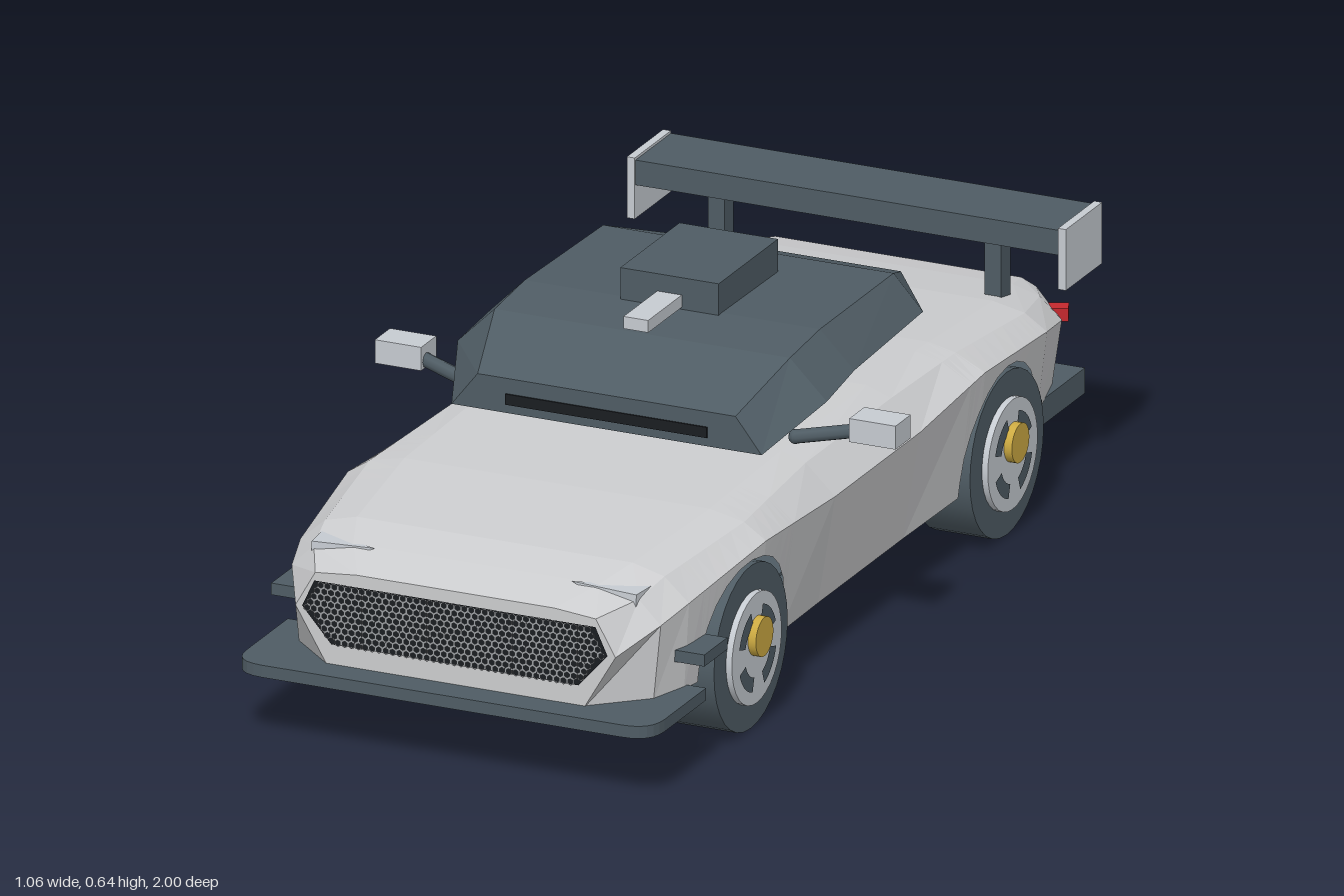
import * as THREE from 'three';
import { mergeGeometries } from 'three/addons/utils/BufferGeometryUtils.js';
import { ConvexGeometry } from 'three/addons/geometries/ConvexGeometry.js';

const mat = (name, color, side = THREE.FrontSide) =>
  Object.assign(new THREE.MeshStandardMaterial({ color, side }), { name });

const V = (x, y, z) => new THREE.Vector3(x, y, z);

// Skin through cross-sections that run from front to back, capped at both ends.
function loft(rows, closed) {
  const p = [], n = rows[0].length;
  const tri = (...vs) => vs.forEach(v => p.push(v.x, v.y, v.z));
  for (let i = 0; i < rows.length - 1; i++) {
    for (let j = 0; j < (closed ? n : n - 1); j++) {
      const k = (j + 1) % n;
      tri(rows[i][j], rows[i + 1][j], rows[i + 1][k]);
      tri(rows[i][j], rows[i + 1][k], rows[i][k]);
    }
  }
  const front = rows[0], back = rows[rows.length - 1];
  for (let j = 1; j < n - 1; j++) {
    tri(front[0], front[j], front[j + 1]);
    tri(back[0], back[j + 1], back[j]);
  }
  const g = new THREE.BufferGeometry();
  g.setAttribute('position', new THREE.Float32BufferAttribute(p, 3));
  g.computeVertexNormals();
  return g;
}

// Half section points (x, y) mirrored into a full row at depth z.
const mirrorRow = (pts, z) => [
  ...pts.map(([x, y]) => V(x, y, z)),
  ...pts.slice().reverse().map(([x, y]) => V(-x, y, z)),
];

export function createModel() {
  const car = new THREE.Group();
  car.name = 'car';
  const silver = mat('silver paint', 0xcccdcf, THREE.DoubleSide);
  const trim = mat('light trim', 0xc6cbd1);
  const dark = mat('dark slate', 0x4f5c64);
  const black = mat('black', 0x1a1d21);
  const mesh = mat('grille mesh', 0x9a9da0);
  const gold = mat('gold', 0xccaa42);
  const red = mat('red', 0xc4282e);

  const add = (name, geo, material, parent = car) => {
    const m = new THREE.Mesh(geo, material);
    m.name = name;
    parent.add(m);
    return m;
  };
  // Box given by its limits on each axis.
  const box = (name, material, [x0, x1], [y0, y1], [z0, z1]) =>
    add(name, new THREE.BoxGeometry(x1 - x0, y1 - y0, z1 - z0), material)
      .position.set((x0 + x1) / 2, (y0 + y1) / 2, (z0 + z1) / 2);
  // The same box on both sides, limits given for the left one.
  const pair = (name, material, [x0, x1], y, z) => {
    box(name, material, [x0, x1], y, z);
    box(name, material, [-x1, -x0], y, z);
  };

  // Body shell: z, then bonnet edge, top edge, shoulder and sill as x, y
  const keys = [
    [0.94, 0.20, 0.338, 0.285, 0.33, 0.325, 0.26, 0.26, 0.15],
    [0.85, 0.25, 0.362, 0.33, 0.345, 0.375, 0.30, 0.36, 0.15],
    [0.77, 0.28, 0.382, 0.345, 0.365, 0.395, 0.32, 0.385, 0.15],
    [0.50, 0.31, 0.40, 0.38, 0.385, 0.425, 0.355, 0.40, 0.13],
    [0.19, 0.31, 0.408, 0.36, 0.392, 0.42, 0.335, 0.385, 0.12],
    [-0.18, 0.31, 0.41, 0.36, 0.392, 0.42, 0.335, 0.385, 0.12],
    [-0.45, 0.31, 0.402, 0.365, 0.39, 0.425, 0.36, 0.40, 0.13],
    [-0.75, 0.30, 0.378, 0.365, 0.365, 0.41, 0.335, 0.39, 0.17],
    [-0.90, 0.27, 0.355, 0.325, 0.34, 0.37, 0.30, 0.35, 0.17],
    [-0.98, 0.25, 0.338, 0.28, 0.325, 0.33, 0.27, 0.26, 0.17],
  ];
  const axles = [0.545, -0.565], wheelR = 0.16, archR = 0.172;
  const stations = keys.map(k => k[0]);
  for (const a of axles) {
    stations.push(a + archR * 1.002, a - archR * 1.002);
    for (let i = 0; i <= 12; i++) stations.push(a + archR * Math.cos(i * Math.PI / 12));
  }
  stations.sort((a, b) => b - a);
  const bodyRows = stations.map(z => {
    const i = Math.min(keys.length - 2, Math.max(0, keys.findIndex(k => k[0] <= z) - 1));
    const t = (keys[i][0] - z) / (keys[i][0] - keys[i + 1][0]);
    const [, ax, ay, bx, by, cx, cy, dx, dy] = keys[i].map((v, j) => v + (keys[i + 1][j] - v) * t);
    // Raise the sill to cut the wheel arches.
    let lift = 0;
    for (const a of axles) {
      const h = archR * archR - (z - a) ** 2;
      if (h > -1e-9) lift = (wheelR + Math.sqrt(Math.max(0, h)) - dy) / (cy - dy);
    }
    return mirrorRow([[dx + (cx - dx) * lift, dy + (cy - dy) * lift], [cx, cy], [bx, by], [ax, ay]], z);
  });
  add('body', loft(bodyRows, false), silver);

  // Underside
  box('floor', dark, [-0.29, 0.29], [0.13, 0.15], [-0.78, 0.8]);
  box('midFloor', dark, [-0.383, 0.383], [0.124, 0.145], [-0.39, 0.37]);
  box('wheelWellRoof', dark, [-0.37, 0.37], [0.335, 0.34], [-0.7, 0.7]);
  pair('sillRail', trim, [0.265, 0.3], [0.118, 0.13], [-0.39, 0.37]);

  // Front splitter with rounded corners
  const sp = new THREE.Shape();
  sp.moveTo(-0.425, -0.76);
  sp.lineTo(0.425, -0.76);
  sp.lineTo(0.425, -0.94);
  sp.quadraticCurveTo(0.425, -1, 0.365, -1);
  sp.lineTo(-0.365, -1);
  sp.quadraticCurveTo(-0.425, -1, -0.425, -0.94);
  const spGeo = new THREE.ExtrudeGeometry(sp, { depth: 0.024, bevelEnabled: false, curveSegments: 6 });
  add('splitter', spGeo.rotateX(-Math.PI / 2), dark).position.y = 0.131;
  pair('canard', dark, [0.35, 0.44], [0.213, 0.236], [0.7, 0.8]);
  pair('splitterFin', dark, [0.345, 0.375], [0.15, 0.195], [0.7, 0.79]);

  // Rear diffuser
  box('diffuser', dark, [-0.37, 0.37], [0.122, 0.172], [-1, -0.73]);
  pair('diffuserFin', dark, [0.355, 0.395], [0.165, 0.195], [-0.76, -0.7]);

  // Floating roof: z, lower half width, upper half width, lower y, upper y
  const roofRows = [
    [0.285, 0.315, 0.262, 0.432, 0.5],
    [0.13, 0.375, 0.3, 0.494, 0.568],
    [0, 0.37, 0.3, 0.51, 0.58],
    [-0.33, 0.355, 0.295, 0.51, 0.576],
    [-0.49, 0.25, 0.235, 0.442, 0.515],
  ].map(([z, w, u, y0, y1]) => mirrorRow([[w, y0], [u, y1]], z));
  add('roof', loft(roofRows, true), dark);
  box('windscreenSlot', black, [-0.205, 0.205], [0.449, 0.47], [0.283, 0.288]);
  box('roofBox', dark, [-0.1, 0.1], [0.572, 0.641], [-0.245, 0.012]);
  box('roofBar', trim, [-0.025, 0.025], [0.583, 0.607], [-0.27, 0.158]);
  pair('seat', dark, [0.067, 0.202], [0.39, 0.52], [-0.32, -0.19]);

  // Rear wing
  box('wing', dark, [-0.432, 0.432], [0.486, 0.535], [-0.912, -0.758]);
  pair('wingEndPlate', trim, [0.43, 0.446], [0.42, 0.54], [-0.912, -0.755]);
  pair('wingStrut', dark, [0.264, 0.298], [0.345, 0.49], [-0.83, -0.79]);

  // Grille: dark plate under a honeycomb of small rings
  const gp = [[-0.29, 0.315], [-0.315, 0.262], [-0.255, 0.195], [0.255, 0.195], [0.315, 0.262], [0.29, 0.315]];
  const grille = new THREE.Shape(gp.map(([x, y]) => new THREE.Vector2(x * 0.985, y)).reverse());
  add('grillePlate', new THREE.ShapeGeometry(grille), black).position.z = 0.943;
  const cells = [];
  for (let r = 0; r < 10; r++) {
    const y = 0.201 + r * 0.012;
    const half = y < 0.262 ? 0.255 + (y - 0.195) * 0.89 : 0.315 - (y - 0.262) * 0.47;
    for (let c = -24; c <= 24; c++) {
      const x = (c + (r % 2) / 2) * 0.0139;
      if (Math.abs(x) < half - 0.012) {
        cells.push(new THREE.RingGeometry(0.0055, 0.008, 6, 1, Math.PI / 6).translate(x, y, 0.946));
      }
    }
  }
  add('grilleMesh', mergeGeometries(cells), mesh);

  for (const s of [1, -1]) {
    // Headlight wedge
    add('headlight', new ConvexGeometry([
      V(0.335 * s, 0.357, 0.805), V(0.33 * s, 0.357, 0.86), V(0.33 * s, 0.325, 0.862),
      V(0.2 * s, 0.364, 0.862), V(0.25 * s, 0.34, 0.862),
    ]), trim);
    // Tail light
    const tail = add('tailLight', new THREE.BoxGeometry(0.042, 0.026, 0.03), red);
    tail.position.set(0.348 * s, 0.303, -0.927);
    tail.rotation.y = 0.4 * s;
    // Wing mirror on its arm
    const a = V(0.33 * s, 0.432, 0.17), b = V(0.45 * s, 0.452, 0.135);
    const arm = new THREE.TubeGeometry(new THREE.LineCurve3(a, b), 1, 0.014, 8);
    add('mirrorArm', arm, dark);
    add('mirrorArmEnd', new THREE.SphereGeometry(0.014, 8, 6), dark).position.copy(a);
    add('mirror', new THREE.BoxGeometry(0.094, 0.046, 0.066), trim).position.set(0.482 * s, 0.458, 0.128);

    // Wheels, built facing outward along +x
    for (const z of axles) {
      const wheel = new THREE.Group();
      wheel.name = 'wheel';
      const disc = (name, m, r, x0, x1, y = 0) => add(name,
        new THREE.CylinderGeometry(r, r, x1 - x0, 32).rotateZ(Math.PI / 2).translate((x0 + x1) / 2, y, 0), m, wheel);
      disc('tyre', dark, wheelR, -0.058, 0.058);
      disc('rim', trim, 0.108, -0.062, 0.07);
      disc('hub', gold, 0.038, 0.06, 0.086, 0.025);
      for (let i = 0; i < 4; i++) {
        add('rimOpening', new THREE.RingGeometry(0.055, 0.083, 8, 1, i * Math.PI / 2 + 0.35, 0.95)
          .rotateY(Math.PI / 2).translate(0.072, 0, 0), dark, wheel);
      }
      wheel.position.set(0.357 * s, wheelR, z);
      wheel.rotation.y = s > 0 ? 0 : Math.PI;
      car.add(wheel);
    }
  }
  return car;
}
